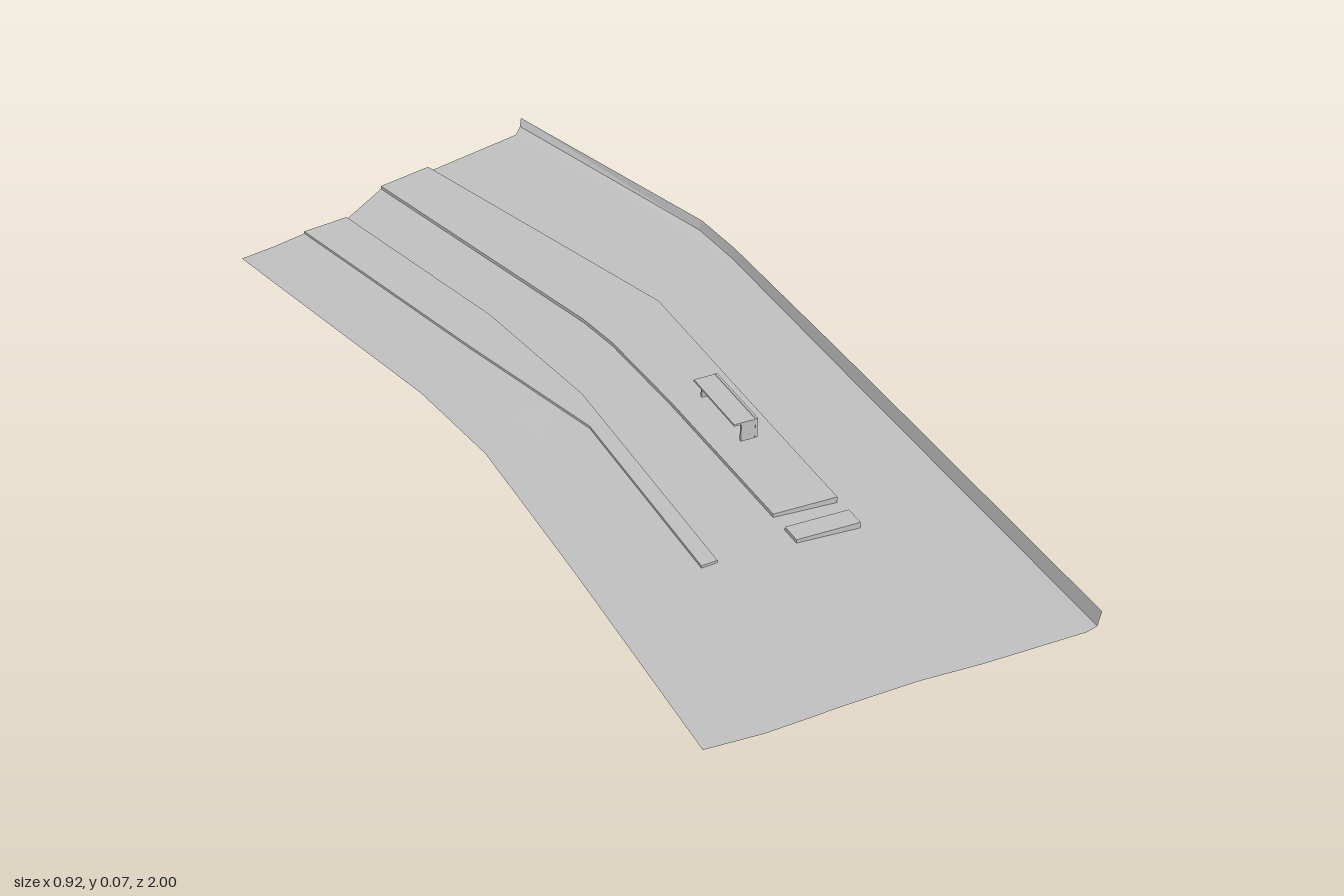
import * as THREE from 'three';

// Lengthwise edges of the panel: [x, z] points from front to back,
// with the height at the front (y0) and at the back (y1)
const EDGES = {
  left: { y0: 0.012, y1: 0.011, p: [[-0.265, 1], [-0.265, 0.5], [-0.27, 0.15], [-0.305, -0.08], [-0.46, -0.69]] },
  dip: { y0: 0.005, y1: 0.008, p: [[-0.16, 1], [-0.16, 0.15], [-0.23, -0.16], [-0.385, -0.715]] },
  ribA: { y0: 0.008, y1: 0.008, p: [[-0.065, 1], [-0.065, 0.15], [-0.16, -0.18], [-0.31, -0.74]] },
  ribB: { y0: 0.01, y1: 0.008, p: [[-0.035, 1], [-0.035, 0.05], [-0.085, -0.28], [-0.21, -0.76]] },
  bandA: { y0: 0.012, y1: 0.01, p: [[0.112, 1], [0.11, 0.6], [0.1, 0.15], [0.085, -0.13], [-0.1, -0.85]] },
  bandB: { y0: 0.005, y1: 0.01, p: [[0.235, 1], [0.235, -0.18], [0.02, -0.88]] },
  crease: { y0: 0.002, y1: 0.01, p: [[0.43, 1], [0.43, -0.28], [0.42, -0.41], [0.26, -0.96]] },
  foot: { y0: 0.008, y1: 0.012, p: [[0.45, 1], [0.45, -0.28], [0.441, -0.41], [0.283, -0.99]] },
  rim: { y0: 0.037, y1: 0.027, p: [[0.455, 1], [0.455, -0.28], [0.447, -0.41], [0.29, -1]] },
};
const ROWS = [1, 0.61, 0.6, 0.57, 0.53, 0.33, 0.15, 0.05, -0.08, -0.18, -0.28, -0.41];

function pointAt(edge, z, lift = 0) {
  const { p, y0, y1 } = edge;
  let i = 0;
  while (i < p.length - 2 && z < p[i + 1][1]) i++;
  const t = (z - p[i][1]) / (p[i + 1][1] - p[i][1]);
  const x = p[i][0] + t * (p[i + 1][0] - p[i][0]);
  const k = Math.min(Math.max((0.2 - z) / 1.0, 0), 1);
  return [x, y0 + k * (y1 - y0) + lift, z];
}

// One edge as a row of points between two depths; no end depth means the back
function line(edge, lift = 0, from = 1, to = null) {
  const end = to ?? edge.p[edge.p.length - 1][1];
  const zs = [from, ...ROWS.filter((z) => z < from && z > end), end];
  return zs.map((z) => pointAt(edge, z, lift));
}

// Faceted sheet across neighbouring lines
function sheet(lines) {
  const pos = [];
  for (let c = 0; c < lines.length - 1; c++) {
    for (let r = 0; r < lines[c].length - 1; r++) {
      const a = lines[c][r], b = lines[c + 1][r], d = lines[c][r + 1], e = lines[c + 1][r + 1];
      pos.push(...a, ...b, ...e, ...a, ...e, ...d);
    }
  }
  const g = new THREE.BufferGeometry();
  g.setAttribute('position', new THREE.Float32BufferAttribute(pos, 3));
  g.computeVertexNormals();
  return g;
}

export function createModel() {
  const group = new THREE.Group();
  const grey = new THREE.MeshStandardMaterial({ color: 0xc0c0c0, side: THREE.DoubleSide, flatShading: true });
  grey.name = 'panelGrey';
  const add = (name, geometry, parent = group) => {
    const mesh = new THREE.Mesh(geometry, grey);
    mesh.name = name;
    parent.add(mesh);
    return mesh;
  };
  const E = EDGES;

  // Bent floor panel and the upright lip along its left side
  add('floorPanel', sheet([E.left, E.dip, E.ribA, E.ribB, E.bandA, E.bandB, E.crease].map((e) => line(e))));
  add('sideLip', sheet([E.crease, E.foot, E.rim].map((e) => line(e))));

  // Raised strips: top, two sides and closed ends
  const raised = (name, a, b, liftA, liftB, from, to) => {
    const part = new THREE.Group();
    part.name = name;
    const lines = [line(a, 0, from, to), line(a, liftA, from, to), line(b, liftB, from, to), line(b, 0, from, to)];
    add(name + 'Skin', sheet(lines), part);
    for (const [end, pick] of [['Front', (l) => l[0]], ['Back', (l) => l[l.length - 1]]]) {
      const [p, q, r, s] = lines.map(pick);
      add(name + end, sheet(end === 'Front' ? [[p, q], [s, r]] : [[s, r], [p, q]]), part);
    }
    group.add(part);
  };
  raised('narrowRib', E.ribA, E.ribB, 0.005, 0.005, 0.6, null);
  raised('wideBand', E.bandA, E.bandB, 0.007, 0.012, 0.53, null);
  raised('crossBar', E.bandA, E.bandB, 0.007, 0.012, 0.61, 0.57);

  // Pull handle: top plate, outer plate and two end legs
  const handle = new THREE.Group();
  handle.name = 'handle';
  const box = (name, w, h, d, x, y, z) =>
    add(name, new THREE.BoxGeometry(w, h, d), handle).position.set(x, y, z);
  box('handleTop', 0.046, 0.004, 0.16, 0.158, 0.07, 0.25);
  box('handleFace', 0.005, 0.041, 0.16, 0.1805, 0.0525, 0.25);
  for (const z of [0.173, 0.327]) box('handleLeg', 0.028, 0.037, 0.005, 0.164, 0.0495, z);
  group.add(handle);

  return group;
}
